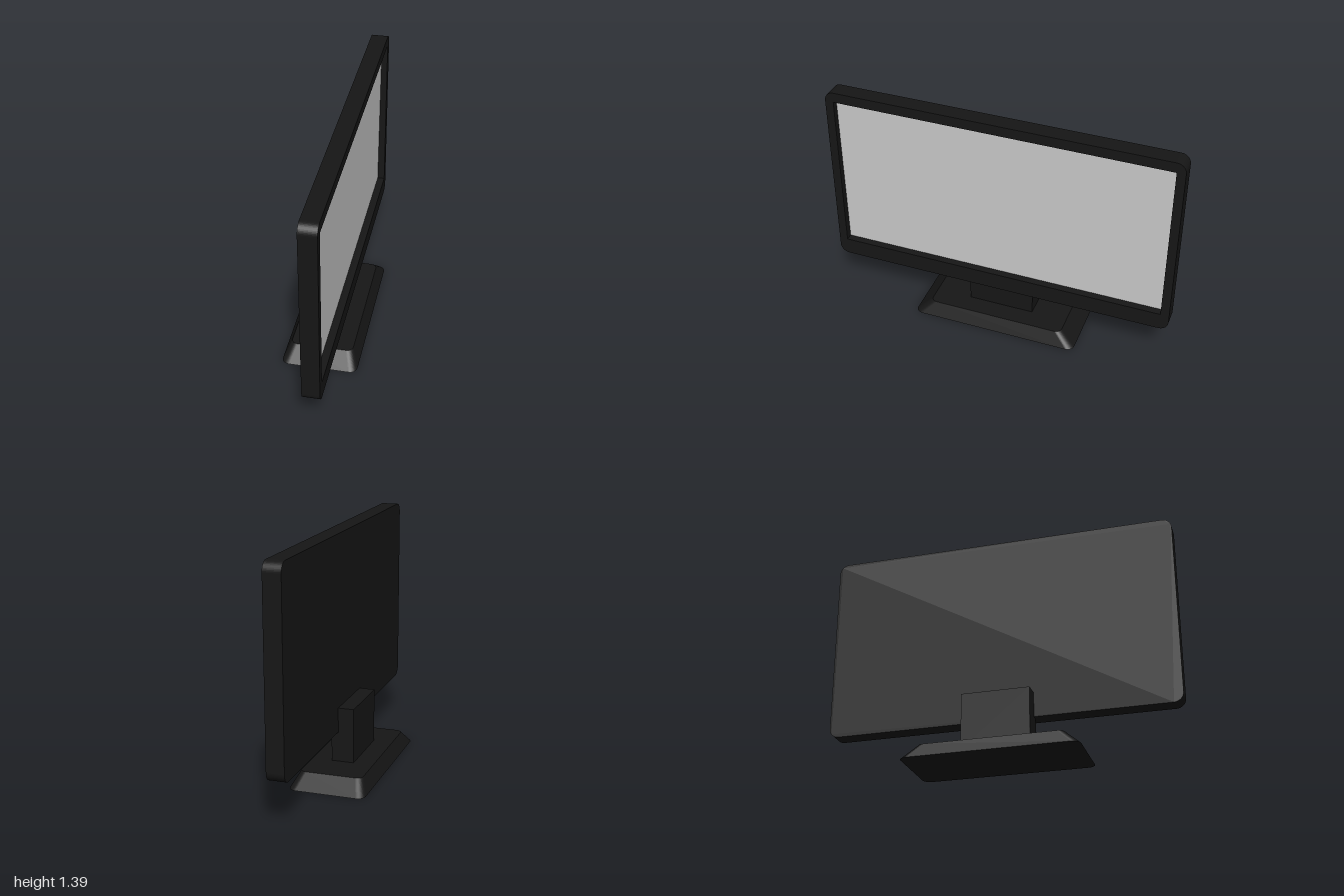
import * as THREE from 'three';

const black = new THREE.MeshStandardMaterial({ color: 0x161616 });
const grey = new THREE.MeshStandardMaterial({ color: 0xcccccc });

// Rounded rectangle centred on the origin
function roundedRect(w, h, r) {
  const s = new THREE.Shape();
  const x = w / 2 - r, y = h / 2 - r;
  s.absarc(x, y, r, 0, Math.PI / 2);
  s.absarc(-x, y, r, Math.PI / 2, Math.PI);
  s.absarc(-x, -y, r, Math.PI, Math.PI * 1.5);
  s.absarc(x, -y, r, Math.PI * 1.5, Math.PI * 2);
  s.closePath();
  return s;
}

function extrude(shape, depth) {
  return new THREE.ExtrudeGeometry(shape, { depth, bevelEnabled: false, curveSegments: 6 });
}

function part(parent, name, geometry, material, x, y, z) {
  const mesh = new THREE.Mesh(geometry, material);
  mesh.name = name;
  mesh.position.set(x, y, z);
  parent.add(mesh);
  return mesh;
}

export function createModel() {
  const model = new THREE.Group();
  model.name = 'monitor';

  // Everything is built facing +z, then turned together
  const body = new THREE.Group();
  body.name = 'turnedMonitor';
  body.position.set(-0.033, 0, -0.018);
  body.rotation.y = THREE.MathUtils.degToRad(74);
  model.add(body);

  // Panel: solid back and a raised bezel around the sunken screen
  const W = 2.05, bottom = 0.256, top = 1.39;
  const midY = (bottom + top) / 2, H = top - bottom;
  const screenW = 1.95, screenBottom = 0.36, screenTop = 1.33;
  const back = 0.026, thick = 0.1, recess = 0.045;

  part(body, 'panelBack', extrude(roundedRect(W, H, 0.055), thick - recess), black, 0, midY, back);

  const frame = roundedRect(W, H, 0.055);
  const y0 = screenBottom - midY, y1 = screenTop - midY, sx = screenW / 2;
  frame.holes.push(new THREE.Path([
    new THREE.Vector2(-sx, y0), new THREE.Vector2(-sx, y1),
    new THREE.Vector2(sx, y1), new THREE.Vector2(sx, y0),
  ]));
  part(body, 'bezel', extrude(frame, recess), black, 0, midY, back + thick - recess);

  // Screen leans forward very slightly inside its recess
  const screen = part(body, 'screen', new THREE.PlaneGeometry(screenW, screenTop - screenBottom), grey,
    0, (screenBottom + screenTop) / 2, back + thick - 0.039);
  screen.rotation.x = 0.008;

  // Stand column, rising behind the panel
  const colBottom = 0.07, colTop = 0.4;
  part(body, 'standColumn', new THREE.BoxGeometry(0.394, colTop - colBottom, 0.131), black,
    0, (colBottom + colTop) / 2, 0);

  // Base: rounded slab tapering towards its top
  const baseH = 0.082;
  const base = extrude(roundedRect(1.0, 0.44, 0.045), baseH);
  base.rotateX(-Math.PI / 2);
  const p = base.attributes.position;
  for (let i = 0; i < p.count; i++) {
    const k = 1 - 0.18 * p.getY(i) / baseH;
    p.setX(i, p.getX(i) * k);
    p.setZ(i, p.getZ(i) * k);
  }
  base.computeVertexNormals();
  part(body, 'standBase', base, black, 0, 0, 0);

  return model;
}
